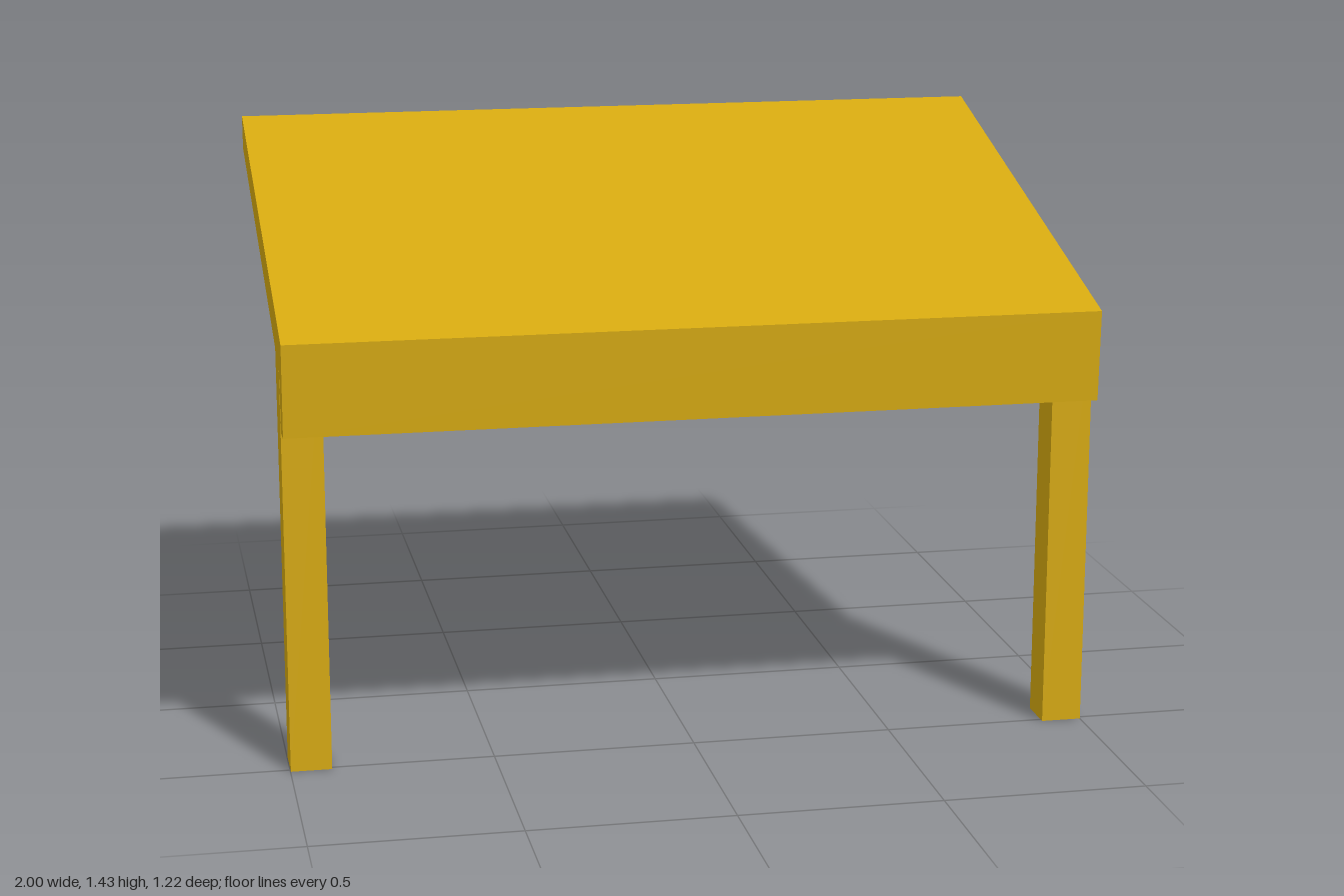
import * as THREE from 'three';

export function createModel() {
  const group = new THREE.Group();
  const ochre = new THREE.MeshStandardMaterial({ color: 0xd4a80f });
  ochre.name = 'ochre';

  // Sloping roof slab with a tapered front lip: side profile as (z, y), extruded along x
  const profile = [
    [0.612, 1.08], [-0.61, 1.435], [-0.605, 1.35],
    [0.535, 1.0], [0.543, 0.853], [0.602, 0.855],
  ].map(([z, y]) => new THREE.Vector2(z, y));
  const roofGeometry = new THREE.ExtrudeGeometry(new THREE.Shape(profile), {
    depth: 1.985, bevelEnabled: false,
  });
  roofGeometry.rotateY(-Math.PI / 2);
  roofGeometry.translate(0.985, 0, 0);
  const roof = new THREE.Mesh(roofGeometry, ochre);
  roof.name = 'roof';
  group.add(roof);

  // Two square posts, running up into the roof; the left one stands slightly proud
  const postHeight = 1.06;
  for (const [name, x] of [['leftPost', 0.95], ['rightPost', -0.949]]) {
    const post = new THREE.Mesh(new THREE.BoxGeometry(0.1, postHeight, 0.1), ochre);
    post.position.set(x, postHeight / 2, 0.462);
    post.name = name;
    group.add(post);
  }

  return group;
}
